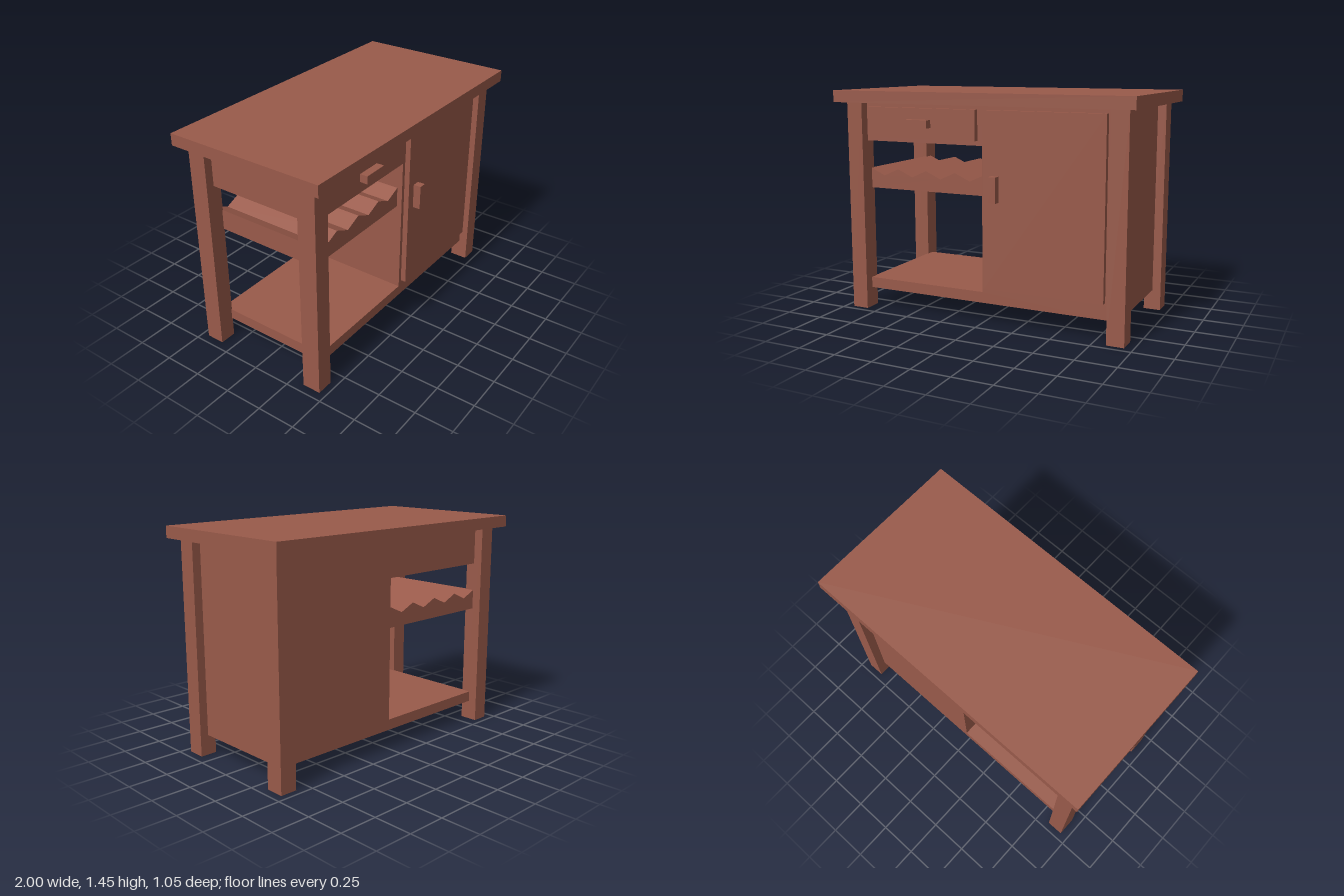
import * as THREE from 'three';

const wood = new THREE.MeshStandardMaterial({ color: 0x995a4a });
wood.name = 'reddish wood';

export function createModel() {
  const group = new THREE.Group();
  group.name = 'kitchenIsland';

  function add(name, geometry) {
    const mesh = new THREE.Mesh(geometry, wood);
    mesh.name = name;
    group.add(mesh);
    return mesh;
  }

  // Box given by its lower and upper limits on each axis
  function box(name, x0, x1, y0, y1, z0, z1) {
    const mesh = add(name, new THREE.BoxGeometry(x1 - x0, y1 - y0, z1 - z0));
    mesh.position.set((x0 + x1) / 2, (y0 + y1) / 2, (z0 + z1) / 2);
  }

  // Front outline (x, y) carried from z0 to z1
  function slab(name, outline, z0, z1) {
    const shape = new THREE.Shape(outline.map(([x, y]) => new THREE.Vector2(x, y)));
    const geometry = new THREE.ExtrudeGeometry(shape, { depth: z1 - z0, bevelEnabled: false });
    add(name, geometry).position.z = z0;
  }

  box('worktop', -1, 1, 1.37, 1.445, -0.525, 0.525);

  // Four corner legs
  for (const sx of [-1, 1]) {
    for (const sz of [-1, 1]) {
      const leg = add(sz > 0 ? 'frontLeg' : 'backLeg', new THREE.BoxGeometry(0.11, 1.37, 0.12));
      leg.position.set(sx * 0.89, 0.685, sz * 0.395);
    }
  }

  // Cabinet, drawer case and bottom shelf share one continuous outline
  slab('carcass', [
    [-0.89, 1.37], [-0.89, 1.12], [0, 1.12], [0, 0.2],
    [-0.84, 0.2], [-0.84, 0.13], [0.89, 0.13], [0.89, 1.37],
  ], -0.395, 0.395);

  // Bottle rack with a zigzag top
  const rack = [[0, 0.805], [0, 0.937]];
  for (let i = 1; i <= 8; i++) rack.push([-0.105 * i, i % 2 ? 0.89 : 0.937]);
  rack.push([-0.84, 0.805]);
  slab('bottleRack', rack, -0.395, 0.36);

  // Raised fronts and their handles
  box('drawerFront', -0.81, -0.03, 1.15, 1.34, 0.39, 0.43);
  box('drawerHandle', -0.505, -0.34, 1.22, 1.27, 0.425, 0.48);
  box('cabinetDoor', 0.025, 0.805, 0.235, 1.34, 0.39, 0.43);
  box('doorHandle', 0.08, 0.13, 0.785, 0.945, 0.425, 0.48);

  return group;
}
